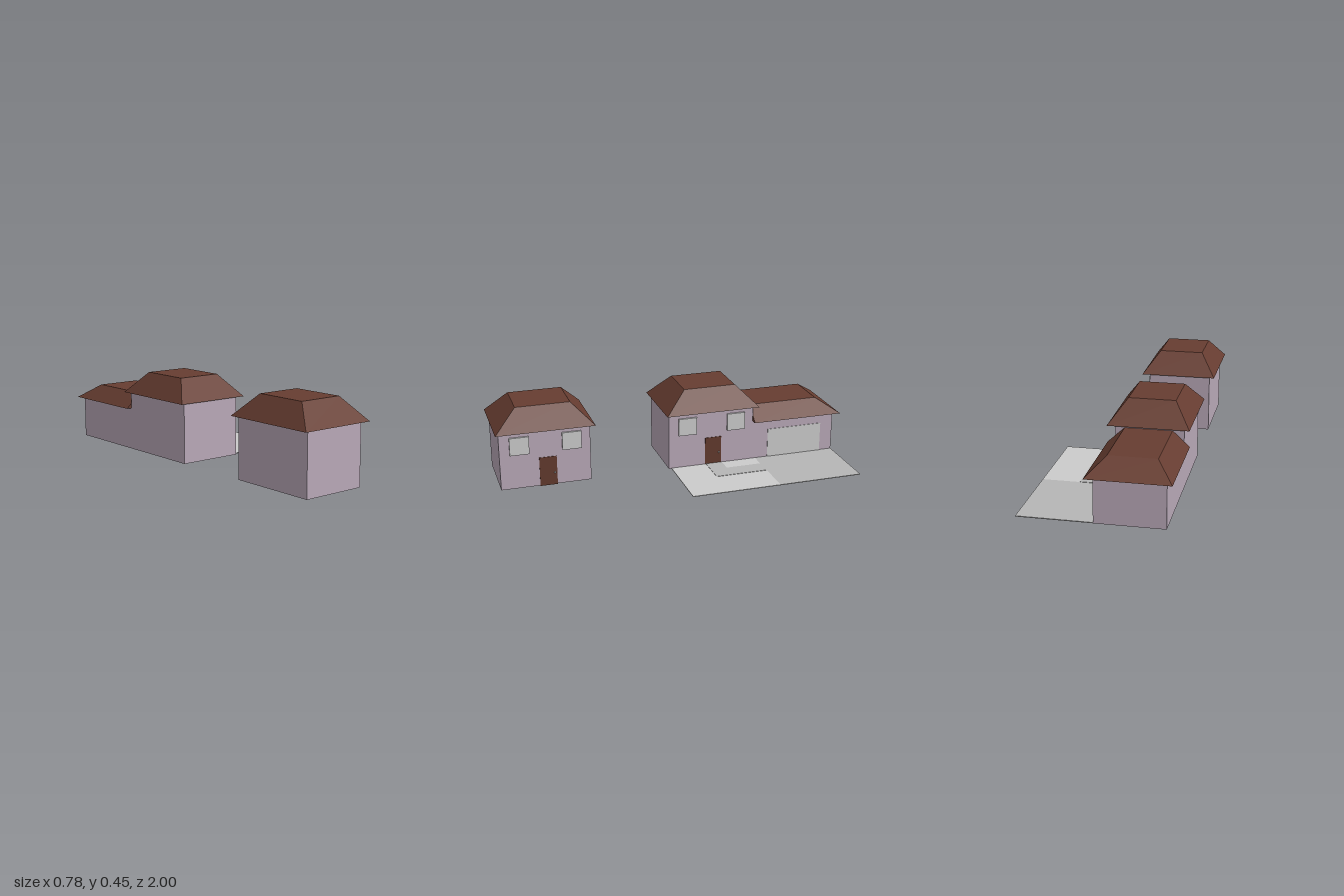
import * as THREE from 'three';

const paint = (color) => new THREE.MeshStandardMaterial({ color, flatShading: true });

export function createModel() {
  const wall = paint(0xb9a9b8), roofing = paint(0x673d31), wood = paint(0x623a2d);
  const grey = paint(0xcccccc), paving = paint(0xb6b6b6);
  const model = new THREE.Group();

  // Box given by its minimum and maximum corners
  function block(parent, name, material, [x0, y0, z0], [x1, y1, z1]) {
    const mesh = new THREE.Mesh(new THREE.BoxGeometry(x1 - x0, y1 - y0, z1 - z0), material);
    mesh.position.set((x0 + x1) / 2, (y0 + y1) / 2, (z0 + z1) / 2);
    mesh.name = name;
    parent.add(mesh);
    return mesh;
  }

  // Flat-topped hip roof: a box whose upper corners are drawn inwards
  function hipRoof(parent, name, y0, y1, zBack, zFront, topBack, topFront) {
    const mesh = block(parent, name, roofing, [-0.39, y0, zBack], [0.04, y1, zFront]);
    const p = mesh.geometry.attributes.position;
    const { x: cx, z: cz } = mesh.position;
    for (let i = 0; i < p.count; i++) {
      if (p.getY(i) < 0) continue;
      p.setX(i, (p.getX(i) < 0 ? -0.3 : -0.05) - cx);
      p.setZ(i, (p.getZ(i) < 0 ? topBack : topFront) - cz);
    }
    mesh.geometry.computeVertexNormals();
  }

  // Two-storey house with a door and two windows facing +x; z is its centre
  function house(name, z) {
    const g = new THREE.Group();
    g.name = name;
    g.position.z = z;
    block(g, 'walls', wall, [-0.36, 0.002, -0.25], [0, 0.332, 0.25]);
    hipRoof(g, 'roof', 0.332, 0.452, -0.275, 0.27, -0.155, 0.145);
    for (const c of [0.141, -0.146]) {
      block(g, 'window', grey, [-0.003, 0.2, c - 0.053], [0.011, 0.3, c + 0.053]);
    }
    block(g, 'door', wood, [-0.015, 0, -0.06], [0.003, 0.167, 0.036]);
    const knob = new THREE.Mesh(new THREE.SphereGeometry(0.005, 12, 8), grey);
    knob.name = 'doorKnob';
    knob.position.set(0.004, 0.072, -0.047);
    g.add(knob);
    model.add(g);
  }
  house('frontHouse', 0.73);
  house('rearHouse', -0.22);

  // Garage joined to the rear house
  const garage = new THREE.Group();
  garage.name = 'garage';
  block(garage, 'garageWalls', wall, [-0.36, 0.002, -0.97], [0, 0.24, -0.47]);
  hipRoof(garage, 'garageRoof', 0.238, 0.32, -1, -0.47, -0.875, -0.47);
  block(garage, 'garageDoor', grey, [-0.003, 0.003, -0.895], [0.003, 0.176, -0.565]);
  model.add(garage);

  // Ground: lawn, driveway and an L-shaped footpath to the rear house door
  const yard = new THREE.Group();
  yard.name = 'yard';
  block(yard, 'lawn', grey, [0, 0.002, -0.49], [0.39, 0.006, 0.015]);
  block(yard, 'driveway', paving, [0, 0.002, -0.97], [0.39, 0.006, -0.49]);
  block(yard, 'footpath', paving, [0.09, 0.003, -0.49], [0.187, 0.008, -0.19]);
  block(yard, 'footpathToDoor', paving, [0, 0.003, -0.285], [0.09, 0.008, -0.19]);
  model.add(yard);

  return model;
}
